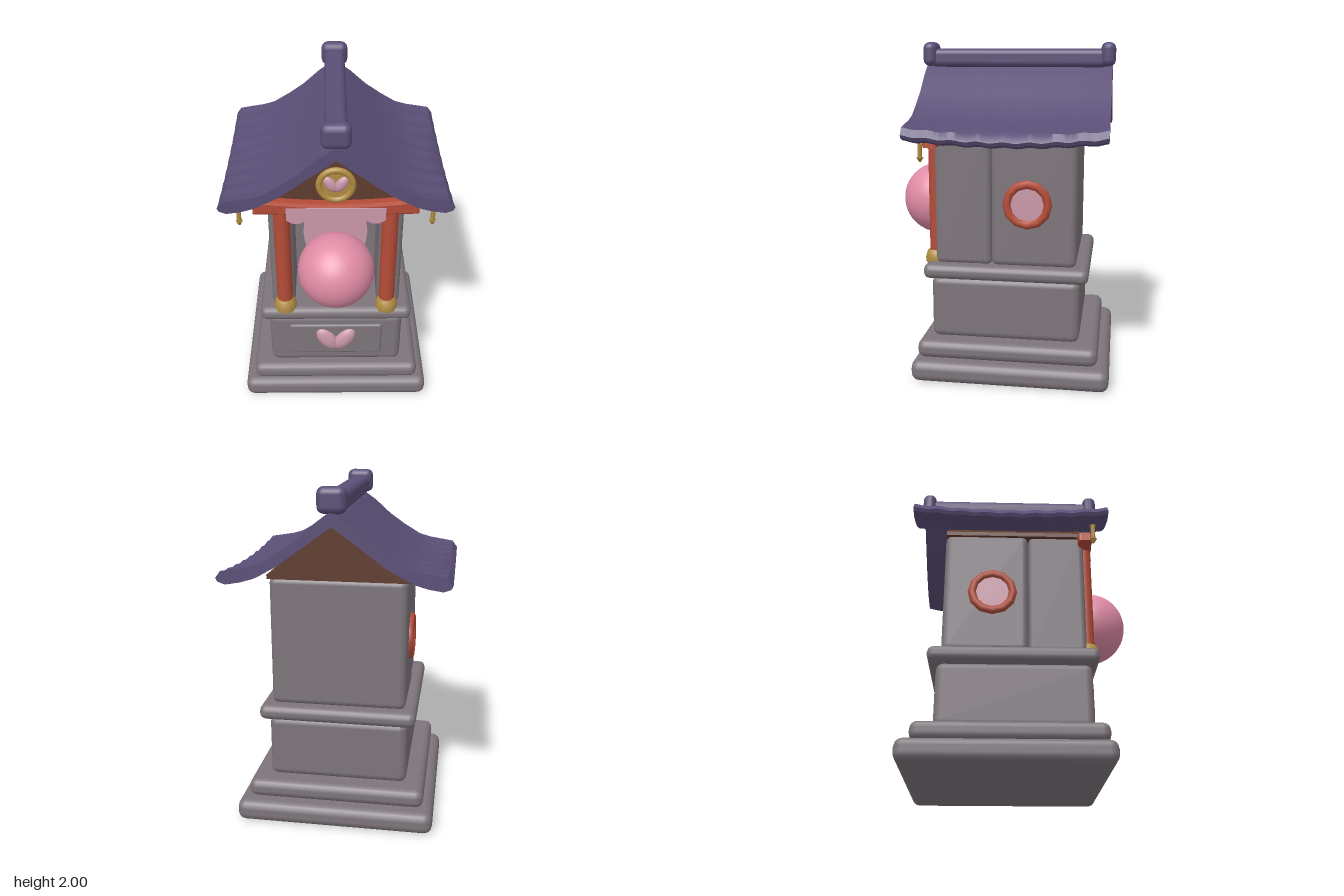
import * as THREE from 'three';
import { toCreasedNormals } from 'three/addons/utils/BufferGeometryUtils.js';
import { RoundedBoxGeometry } from 'three/addons/geometries/RoundedBoxGeometry.js';

const paint = (name, color) => {
  const m = new THREE.MeshStandardMaterial({ color });
  m.name = name;
  return m;
};

// Roof cross-section, right half: upper line from ridge to eave, then lower line back
const UPPER = [[0, 1.87], [0.1, 1.8], [0.2, 1.71], [0.3, 1.64], [0.4, 1.58], [0.47, 1.56], [0.55, 1.547], [0.62, 1.535], [0.65, 1.495]];
const LOWER = [[0.64, 1.475], [0.6, 1.46], [0.52, 1.472], [0.44, 1.495], [0.3, 1.57], [0.15, 1.68], [0, 1.79]];

function roofGeometry(zBack, zFront, steps) {
  const half = [...UPPER, ...LOWER];
  const mirrored = half.slice(1, -1).reverse().map(([x, y]) => [-x, y]);
  const loop = [...half, ...mirrored];
  const n = loop.length, pos = [], idx = [];
  for (let i = 0; i <= steps; i++) {
    const u = i / steps, z = zBack + (zFront - zBack) * u;
    for (const [x, y] of loop) {
      const t = Math.min(1, Math.abs(x) / 0.6) ** 2;
      const sag = 0.03 * (1 - (2 * u - 1) ** 2) + 0.004 * (1 - Math.cos(u * Math.PI * 16));
      pos.push(x, y - sag * t, z);
    }
  }
  for (let i = 0; i < steps; i++) {
    for (let j = 0; j < n; j++) {
      const a = i * n + j, b = i * n + (j + 1) % n;
      idx.push(a, a + n, b, b, a + n, b + n);
    }
  }
  // End caps
  const caps = THREE.ShapeUtils.triangulateShape(loop.map(p => new THREE.Vector2(...p)), []);
  for (const [a, b, c] of caps) {
    const [p, q, r] = [loop[a], loop[b], loop[c]];
    const ccw = (q[0] - p[0]) * (r[1] - p[1]) - (q[1] - p[1]) * (r[0] - p[0]) > 0;
    const [s, t] = ccw ? [b, c] : [c, b];
    const o = steps * n;
    idx.push(a + o, s + o, t + o, a, t, s);
  }
  const g = new THREE.BufferGeometry();
  g.setAttribute('position', new THREE.Float32BufferAttribute(pos, 3));
  g.setIndex(idx);
  return toCreasedNormals(g, 0.7);
}

export function createModel() {
  const model = new THREE.Group();
  model.name = 'shrine';
  const stone = paint('grey stone', 0x7d757b);
  const purple = paint('purple tile', 0x5a4e76);
  const red = paint('red lacquer', 0xb54c38);
  const gold = paint('gold', 0xb08c42);
  const wood = paint('brown wood', 0x603c2e);
  const pink = paint('pink', 0xe08ca6);
  const pale = paint('pale pink', 0xcb98a9);

  const add = (name, geo, mat, x = 0, y = 0, z = 0, parent = model) => {
    const m = new THREE.Mesh(geo, mat);
    m.name = name;
    m.position.set(x, y, z);
    parent.add(m);
    return m;
  };
  // Softened block given by its limits
  const block = (name, mat, x0, x1, y0, y1, z0, z1, r) =>
    add(name, new RoundedBoxGeometry(x1 - x0, y1 - y0, z1 - z0, 2, r), mat,
      (x0 + x1) / 2, (y0 + y1) / 2, (z0 + z1) / 2);
  const extrude = (shape, depth, bevel = 0) => new THREE.ExtrudeGeometry(shape, {
    depth, curveSegments: 12, bevelEnabled: bevel > 0, bevelSize: bevel, bevelThickness: bevel, bevelOffset: -bevel, bevelSegments: 2,
  });

  // Heart made of two tilted lobes
  const heart = (name, y, z, size) => {
    const g = new THREE.Group();
    g.name = name;
    g.position.set(0, y, z);
    g.scale.setScalar(size);
    for (const s of [-1, 1]) {
      const lobe = add('heartLobe', new THREE.SphereGeometry(1, 16, 12), pale, s * 0.053, 0, 0, g);
      lobe.scale.set(0.054, 0.096, 0.035);
      lobe.rotation.z = -s * 0.62;
    }
    model.add(g);
  };

  // Stepped base
  block('bottomStep', stone, -0.585, 0.585, 0, 0.13, -0.67, 0.51, 0.05);
  block('upperStep', stone, -0.525, 0.525, 0.13, 0.24, -0.6, 0.48, 0.045);
  block('plinth', stone, -0.415, 0.415, 0.23, 0.615, -0.485, 0.41, 0.045);
  block('plinthCap', stone, -0.465, 0.465, 0.61, 0.7, -0.535, 0.45, 0.04);
  block('plinthPanel', stone, -0.29, 0.29, 0.31, 0.55, 0.38, 0.425, 0.015);
  heart('plinthHeart', 0.437, 0.422, 1);

  // Chamber and the alcove in front of it
  block('chamber', stone, -0.4, 0.4, 0.69, 1.47, -0.46, 0.045, 0.04);
  for (const s of [-1, 1]) {
    block('alcoveWall', stone, s * 0.32 - 0.07, s * 0.32 + 0.07, 0.69, 1.47, 0.045, 0.385, 0.035);
  }
  add('alcoveDisc', new THREE.CylinderGeometry(0.27, 0.27, 0.009, 24).rotateX(Math.PI / 2).scale(0.75, 1, 1), pale, 0, 1.01, 0.05);

  // Scalloped offering dish
  const dish = new THREE.Shape();
  for (let i = 0; i < 64; i++) {
    const a = i / 64 * Math.PI * 2, r = 0.155 + 0.013 * Math.cos(a * 8);
    dish[i ? 'lineTo' : 'moveTo'](r * Math.cos(a), r * Math.sin(a));
  }
  add('dishRim', extrude(dish, 0.02).rotateX(-Math.PI / 2), pale, 0, 0.738, 0.25);
  add('dishBowl', new THREE.CylinderGeometry(0.145, 0.08, 0.042, 20), pale, 0, 0.718, 0.25);
  add('orb', new THREE.SphereGeometry(0.225, 32, 20), pink, 0, 1.02, 0.447);

  for (const s of [-1, 1]) {
    // Columns with gold feet
    add('column', new THREE.CylinderGeometry(0.048, 0.048, 0.72, 16), red, s * 0.31, 1.06, 0.388);
    const foot = [[0, 0], [0.066, 0], [0.069, 0.03], [0.06, 0.062], [0.048, 0.078], [0, 0.078]];
    add('columnFoot', toCreasedNormals(new THREE.LatheGeometry(foot.map(p => new THREE.Vector2(...p)), 16), 0.7),
      gold, s * 0.31, 0.685, 0.395);

    // Round side windows
    add('windowFrame', new THREE.TorusGeometry(0.121, 0.026, 8, 12).rotateY(Math.PI / 2), red, s * 0.4, 1.07, -0.17);
    add('windowPane', new THREE.CylinderGeometry(0.118, 0.118, 0.009, 16).rotateZ(Math.PI / 2), pale, s * 0.402, 1.07, -0.17);

    // Hanging chimes under the front eaves
    add('chimeRod', new THREE.CylinderGeometry(0.013, 0.013, 0.13, 8), gold, s * 0.545, 1.41, 0.425);
    add('chimeCollar', new THREE.CylinderGeometry(0.02, 0.02, 0.012, 8), gold, s * 0.545, 1.455, 0.425);
    add('chimeTip', new THREE.CylinderGeometry(0.021, 0.006, 0.026, 8), gold, s * 0.545, 1.345, 0.425);
  }

  // Curved lintel
  const beam = new THREE.Shape();
  beam.moveTo(-0.468, 1.4);
  beam.quadraticCurveTo(0, 1.385, 0.468, 1.4);
  beam.lineTo(0.465, 1.455);
  beam.lineTo(0.4, 1.487);
  beam.quadraticCurveTo(0, 1.435, -0.4, 1.487);
  beam.lineTo(-0.465, 1.455);
  add('lintel', extrude(beam, 0.055, 0.015), red, 0, 0, 0.365);

  // Scalloped valance
  const cloth = new THREE.Shape();
  const scallops = 5, w = 0.56 / scallops;
  cloth.moveTo(0.28, 1.447);
  cloth.lineTo(-0.28, 1.447);
  cloth.lineTo(-0.28, 1.37);
  for (let i = 0; i < scallops; i++) {
    const x = -0.28 + i * w;
    cloth.quadraticCurveTo(x + w / 2, 1.32, x + w, 1.37);
  }
  add('valance', extrude(cloth, 0.009), pale, 0, 0, 0.434);

  // Gable and medallion
  const gable = new THREE.Shape([[-0.41, 1.455], [0.41, 1.455], [0.41, 1.48], [0, 1.795], [-0.41, 1.48]].map(p => new THREE.Vector2(...p)));
  add('gable', extrude(gable, 0.83), wood, 0, 0, -0.455);
  add('medallionDisc', new THREE.CylinderGeometry(0.095, 0.095, 0.03, 24).rotateX(Math.PI / 2), gold, 0, 1.573, 0.385);
  add('medallionRing', new THREE.TorusGeometry(0.094, 0.019, 8, 24), gold, 0, 1.573, 0.395);
  heart('medallionHeart', 1.583, 0.402, 0.58);

  // Roof, ridge and finials
  add('roof', roofGeometry(-0.637, 0.507, 64), purple);
  block('ridge', purple, -0.062, 0.062, 1.85, 1.96, -0.61, 0.48, 0.035);
  for (const z of [0.48, -0.61]) {
    block('ridgeFinial', purple, -0.082, 0.082, 1.855, 2, z - 0.044, z + 0.044, 0.04);
  }
  return model;
}
